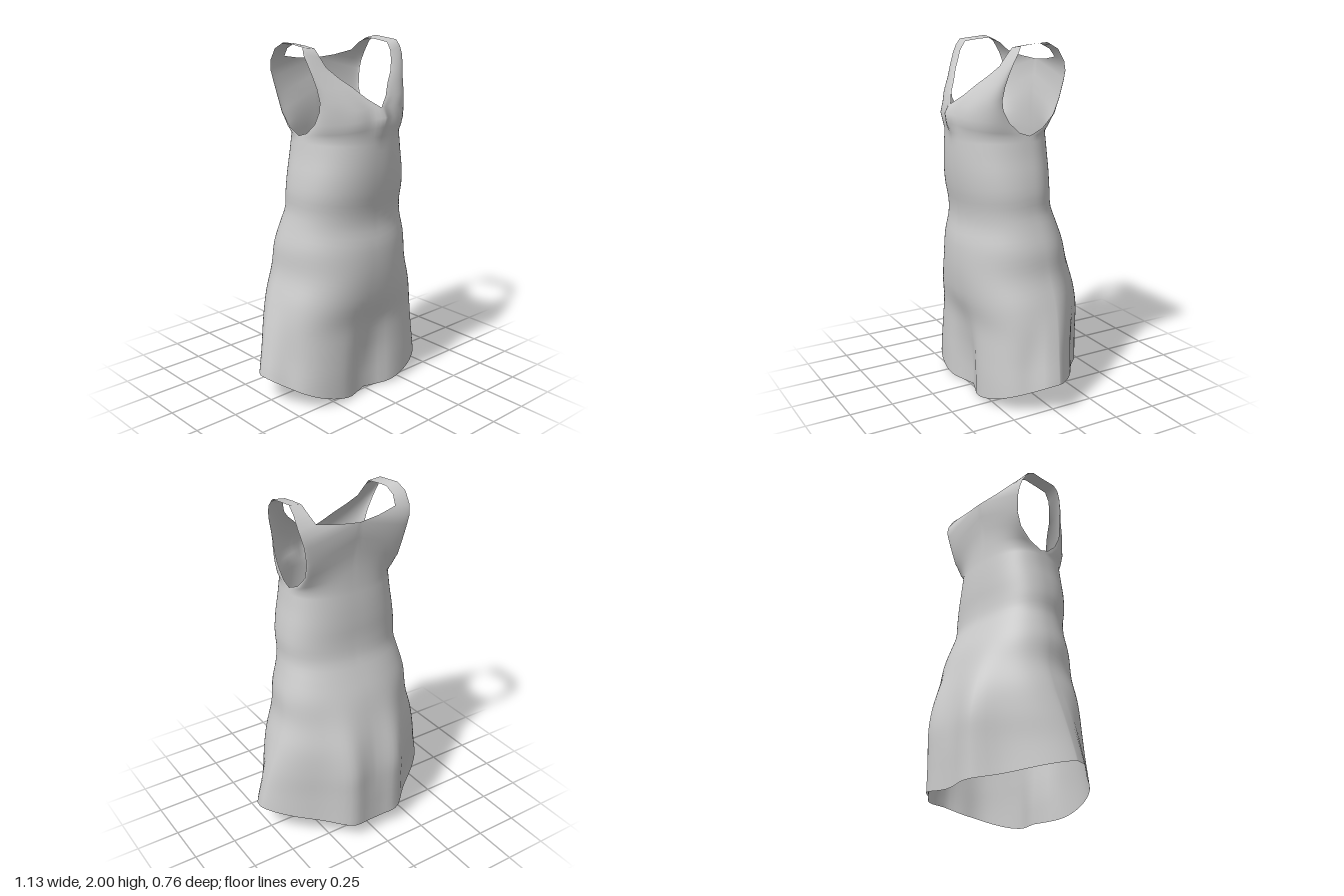
import * as THREE from 'three';
import { mergeVertices } from 'three/addons/utils/BufferGeometryUtils.js';

const COLS = 24, SKIRT_ROWS = 40, ARMPIT = 1.515, HEM_HALF = 0.567;
const { lerp, clamp, smoothstep } = THREE.MathUtils;

// Body profile: height, half width, front z, side seam z, back z, front and back roundness
const PROFILE = [
  [0.00, 0.590, 0.305, 0.00, -0.362, 0.65, 1.45],
  [0.18, 0.567, 0.305, 0.00, -0.362, 0.65, 1.45],
  [0.30, 0.540, 0.302, -0.01, -0.362, 0.66, 1.42],
  [0.45, 0.503, 0.302, -0.025, -0.355, 0.70, 1.30],
  [0.60, 0.458, 0.330, -0.035, -0.332, 0.78, 1.15],
  [0.75, 0.413, 0.343, -0.025, -0.298, 0.85, 1.05],
  [0.90, 0.400, 0.337, 0.00, -0.257, 0.90, 0.95],
  [1.02, 0.370, 0.314, 0.02, -0.210, 0.90, 0.90],
  [1.10, 0.353, 0.317, 0.04, -0.180, 0.90, 0.88],
  [1.20, 0.353, 0.336, 0.05, -0.167, 0.90, 0.85],
  [1.30, 0.340, 0.348, 0.05, -0.165, 0.90, 0.85],
  [1.40, 0.320, 0.352, 0.045, -0.160, 0.90, 0.85],
  [ARMPIT, 0.303, 0.350, 0.04, -0.150, 0.90, 0.85],
];
const profile = new THREE.CubicInterpolant(PROFILE.map(r => r[0]), PROFILE.flatMap(r => r.slice(1)), 6);

// Yoke rows over the shoulder: neck edge x, y, z, armhole edge x, y, z, roundness
const YOKE = [
  [0, ARMPIT, 0.350, 0.303, ARMPIT, 0.04, 0.9],
  [0, 1.57, 0.352, 0.300, 1.535, 0.10, 0.9],
  [0, 1.62, 0.350, 0.295, 1.59, 0.16, 0.92],
  [0, 1.67, 0.335, 0.295, 1.66, 0.197, 1],
  [0.07, 1.72, 0.312, 0.295, 1.71, 0.202, 1],
  [0.13, 1.78, 0.265, 0.310, 1.78, 0.195, 1.1],
  [0.19, 1.83, 0.225, 0.330, 1.85, 0.180, 1.2],
  [0.235, 1.88, 0.185, 0.345, 1.91, 0.160, 1.3],
  [0.255, 1.93, 0.160, 0.350, 1.95, 0.140, 1.3],
  [0.263, 1.975, 0.125, 0.340, 1.985, 0.12, 1.3],
  [0.262, 1.985, 0.04, 0.335, 1.993, 0.04, 1.3],
  [0.262, 1.99, -0.04, 0.335, 2.00, -0.04, 1.3],
  [0.262, 1.96, -0.10, 0.345, 1.965, -0.10, 1.3],
  [0.245, 1.915, -0.145, 0.345, 1.90, -0.14, 1.2],
  [0.130, 1.895, -0.163, 0.335, 1.85, -0.155, 1],
  [0, 1.885, -0.178, 0.320, 1.80, -0.155, 1],
  [0, 1.80, -0.168, 0.300, 1.70, -0.14, 0.95],
  [0, 1.72, -0.152, 0.295, 1.62, -0.11, 0.9],
  [0, 1.62, -0.146, 0.298, 1.55, -0.04, 0.87],
  [0, ARMPIT, -0.150, 0.303, ARMPIT, 0.04, 0.85],
];

// Quarter of a superellipse: fractions across and in depth
function arc(t, p) {
  const a = t * Math.PI / 2;
  return [Math.sin(a) ** p, t === 1 ? 0 : Math.cos(a) ** p];
}

const bell = (d, r) => Math.exp(-((d / r) ** 2));

// Soft modelling: bust, centre fold, crease between the legs, seat
function sculpt(x, y, z) {
  const front = smoothstep(z, 0.12, 0.24), back = smoothstep(-z, 0.12, 0.25);
  const low = 1 - smoothstep(y, 0.1, 0.6);
  z += front * 0.014 * bell(x - 0.14, 0.08) * bell(y - 1.62, 0.05);
  z += front * 0.036 * bell(x, 0.045) * bell(y - 1.61, 0.07);
  z -= front * 0.07 * low * bell(x, 0.11);
  z -= back * 0.055 * bell(x - 0.16, 0.095) * (1 - smoothstep(y, 0.4, 0.95));
  return [x, y, z];
}

// Ring point at height y; the front side seam flares out to a thin edge
function bodyPoint(front, t, y) {
  const [w, f, s, b, pf, pb] = profile.evaluate(clamp(y, 0, ARMPIT));
  const [ax, az] = arc(t, front ? pf : pb);
  const flare = front ? 0.075 * (1 - smoothstep(y, 0.15, 0.65)) : 0;
  return [ax * (w - flare) + flare * bell(t - 1, 0.13), lerp(s, front ? f : b, az)];
}

// Skirt and waist, from the curved hem (v = 0) to the armpit (v = 1)
function skirtPoint(front, t, v) {
  const across = Math.min(1, bodyPoint(front, t, 0.18)[0] / HEM_HALF);
  const hem = lerp(front ? 0.005 : 0.09, 0.18, across ** (front ? 2 : 1.4));
  const y = lerp(hem, ARMPIT, v);
  const [x, z] = bodyPoint(front, t, y);
  return sculpt(x, y, z);
}

function yokePoint([ix, iy, iz, ox, oy, oz, p], t) {
  const [ax, az] = arc(t, p);
  return sculpt(lerp(ix, ox, ax), lerp(iy, oy, ax), lerp(oz, iz, az));
}

function dressGeometry() {
  // One strip per half: up the front, over the shoulder, down the back
  const rows = [];
  for (let j = 0; j < SKIRT_ROWS; j++) rows.push(t => skirtPoint(true, t, j / SKIRT_ROWS));
  for (const r of YOKE) rows.push(t => yokePoint(r, t));
  for (let j = SKIRT_ROWS - 1; j >= 0; j--) rows.push(t => skirtPoint(false, t, j / SKIRT_ROWS));

  const pos = [], index = [], n = COLS + 1;
  for (const side of [1, -1]) {
    const base = pos.length / 3;
    rows.forEach((row, j) => {
      for (let i = 0; i <= COLS; i++) {
        const [x, y, z] = row(i / COLS);
        pos.push(side * x, y, z);
        if (i === COLS || j === rows.length - 1) continue;
        const a = base + j * n + i, b = a + 1, c = a + n, d = c + 1;
        if (side > 0) index.push(a, b, d, a, d, c);
        else index.push(a, d, b, a, c, d);
      }
    });
  }
  let geo = new THREE.BufferGeometry();
  geo.setAttribute('position', new THREE.Float32BufferAttribute(pos, 3));
  geo.setIndex(index);
  geo = mergeVertices(geo, 1e-4); // join the centre and side seams
  geo.computeVertexNormals();
  return geo;
}

export function createModel() {
  const group = new THREE.Group();
  group.name = 'sleevelessDress';
  const cloth = new THREE.MeshStandardMaterial({ color: 0xcccccc, side: THREE.DoubleSide });
  const dress = new THREE.Mesh(dressGeometry(), cloth);
  dress.name = 'dress';
  group.add(dress);
  return group;
}
